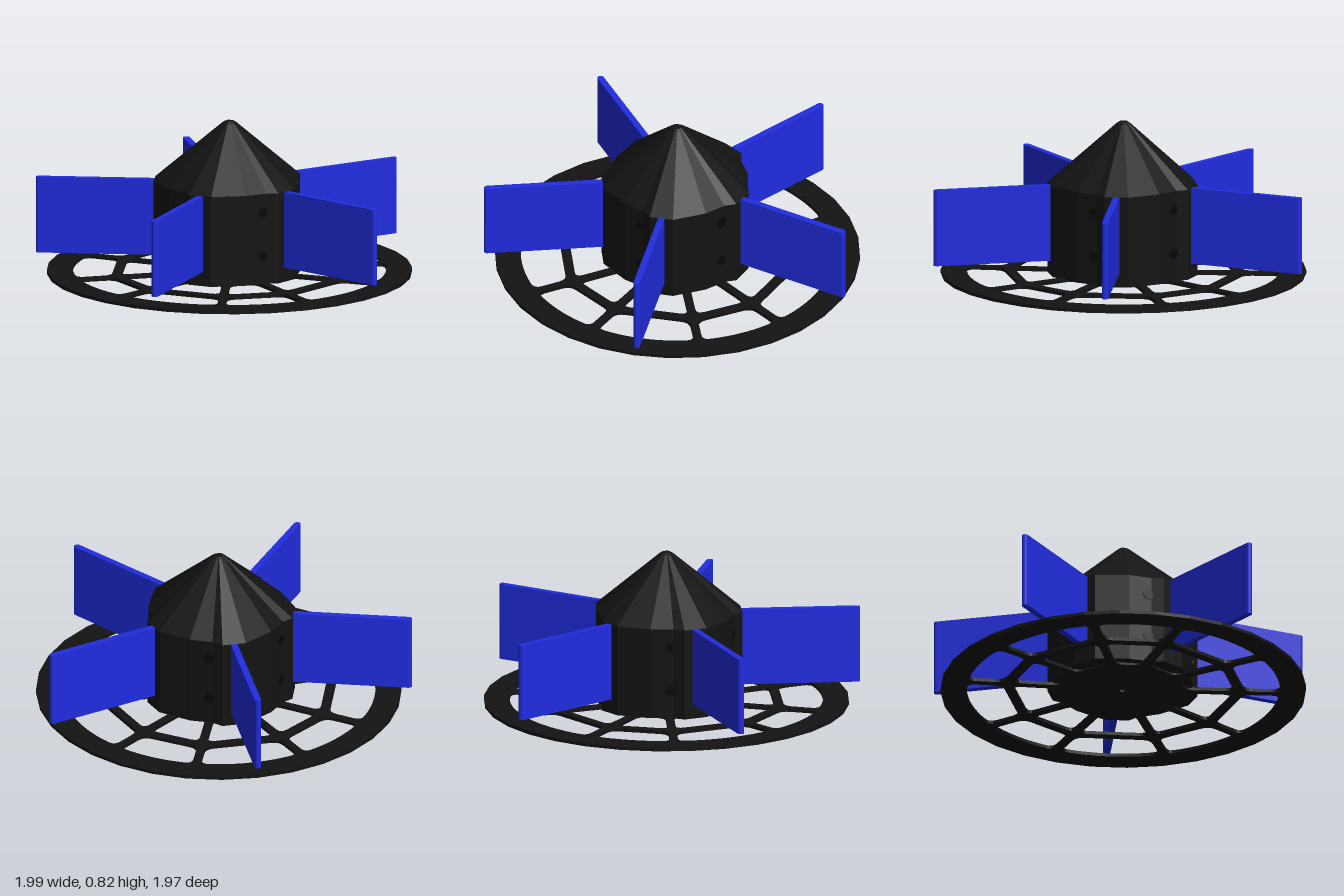
import * as THREE from 'three';

const BLACK = new THREE.MeshStandardMaterial({ color: 0x131313, flatShading: true });
const HOLE = new THREE.MeshStandardMaterial({ color: 0x060606 });
const BLUE = new THREE.MeshStandardMaterial({ color: 0x202ce0, flatShading: true });

const rad = THREE.MathUtils.degToRad;
const BLADE0 = -6.2, SECTOR = 72;          // first blade angle, spacing
const SPOKE_W = 0.022, RING_R = 0.615;     // half spoke width, web ring radius
const polar = (r, a) => new THREE.Vector2(r * Math.cos(a), r * Math.sin(a));

// Closed path with softened corners
function roundedPath(pts, r) {
  const path = new THREE.Path();
  pts.forEach((p, i) => {
    const prev = pts[(i + pts.length - 1) % pts.length];
    const next = pts[(i + 1) % pts.length];
    const toward = (q) => p.clone().lerp(q, Math.min(0.45, r / p.distanceTo(q)));
    const a = toward(prev), b = toward(next);
    if (i === 0) path.moveTo(a.x, a.y); else path.lineTo(a.x, a.y);
    path.quadraticCurveTo(p.x, p.y, b.x, b.y);
  });
  path.closePath();
  return path;
}

// Window between two spokes; the outer edge is an arc of n pieces
function windowPath(a1, a2, rIn, rOut, n) {
  const edge = (r) => Math.asin(SPOKE_W / r);
  const pts = [polar(rIn, a2 - edge(rIn)), polar(rIn, a1 + edge(rIn))];
  const s = a1 + edge(rOut), e = a2 - edge(rOut);
  for (let i = 0; i <= n; i++) pts.push(polar(rOut, s + (e - s) * i / n));
  return roundedPath(pts, 0.045);
}

function makeBaseWheel() {
  const rim = [];
  for (let i = 0; i < 32; i++) rim.push(polar(0.967, i * Math.PI / 16));
  const shape = new THREE.Shape(rim);
  for (let i = 0; i < 5; i++) {
    const b = BLADE0 + i * SECTOR;
    for (const [s, e] of [[b - 20, b + 20], [b + 20, b + 52]]) {
      shape.holes.push(windowPath(rad(s), rad(e), RING_R + 0.025, 0.83, 5));
      shape.holes.push(windowPath(rad(s), rad(e), 0.33, RING_R - 0.028, 1));
    }
  }
  const pin = new THREE.Path();
  pin.absarc(0, 0, 0.02, 0, Math.PI * 2);
  shape.holes.push(pin);
  const geo = new THREE.ExtrudeGeometry(shape, { depth: 0.018, bevelEnabled: false, curveSegments: 4 });
  geo.rotateX(Math.PI / 2).translate(0, 0.018, 0);
  const mesh = new THREE.Mesh(geo, BLACK);
  mesh.name = 'baseWheel';
  return mesh;
}

// Faceted hub and pointed nose, lofted from one outline
function makeHub() {
  const outline = [];
  for (let i = 0; i < 5; i++) {
    const b = BLADE0 + i * SECTOR;
    for (const [a, r] of [[-9, 0.403], [9, 0.403], [17, 0.368], [36, 0.374], [50, 0.378]])
      outline.push(polar(r, rad(b + a)));
  }
  const rings = [[0.012, 0], [0.012, 1], [0.5, 1], [0.812, 0.1], [0.823, 0.06], [0.823, 0]];
  const n = outline.length, pos = [], idx = [];
  for (const [y, s] of rings) for (const p of outline) pos.push(p.x * s, y, p.y * s);
  for (let k = 0; k < rings.length - 1; k++)
    for (let i = 0; i < n; i++) {
      const a = k * n + i, b = k * n + (i + 1) % n;
      idx.push(a, a + n, b + n, a, b + n, b);
    }
  let geo = new THREE.BufferGeometry();
  geo.setAttribute('position', new THREE.Float32BufferAttribute(pos, 3));
  geo.setIndex(idx);
  geo = geo.toNonIndexed();
  geo.computeVertexNormals();
  const mesh = new THREE.Mesh(geo, BLACK);
  mesh.name = 'hub';
  return mesh;
}

// Upright vane with a rounded outer edge, lying along +x
function makeBlade() {
  const t = 0.0175, r0 = 0.33, r1 = 1.028;
  const shape = new THREE.Shape();
  shape.moveTo(r0, -t);
  shape.lineTo(r1 - t, -t);
  shape.absarc(r1 - t, 0, t, -Math.PI / 2, Math.PI / 2);
  shape.lineTo(r0, t);
  const geo = new THREE.ExtrudeGeometry(shape, { depth: 0.41, bevelEnabled: false, curveSegments: 6 });
  geo.rotateX(Math.PI / 2).translate(0, 0.5, 0);
  const mesh = new THREE.Mesh(geo, BLUE);
  mesh.name = 'blade';
  return mesh;
}

// Shallow screw recess facing +x
function makeScrewHole(r, y, tilt = 0) {
  const mesh = new THREE.Mesh(new THREE.CylinderGeometry(0.027, 0.027, 0.02, 16), HOLE);
  mesh.rotation.z = -Math.PI / 2 + tilt;
  mesh.position.set(r, y, 0);
  mesh.name = 'screwHole';
  return mesh;
}

export function createModel() {
  const model = new THREE.Group();
  model.name = 'bladedRotor';
  model.add(makeBaseWheel(), makeHub());

  for (let i = 0; i < 5; i++) {
    const b = BLADE0 + i * SECTOR;
    const vane = new THREE.Group();
    vane.name = 'bladeAssembly';
    vane.rotation.y = -rad(b);
    vane.add(makeBlade(), makeScrewHole(0.197, 0.655, rad(50)));
    const screws = new THREE.Group();
    screws.name = 'hubScrews';
    screws.rotation.y = -rad(b + 20);
    screws.add(makeScrewHole(0.36, 0.16), makeScrewHole(0.36, 0.4));
    model.add(vane, screws);
  }
  model.position.set(-0.035, 0, 0.02);

  const root = new THREE.Group();
  root.name = 'rotor';
  root.add(model);
  return root;
}
